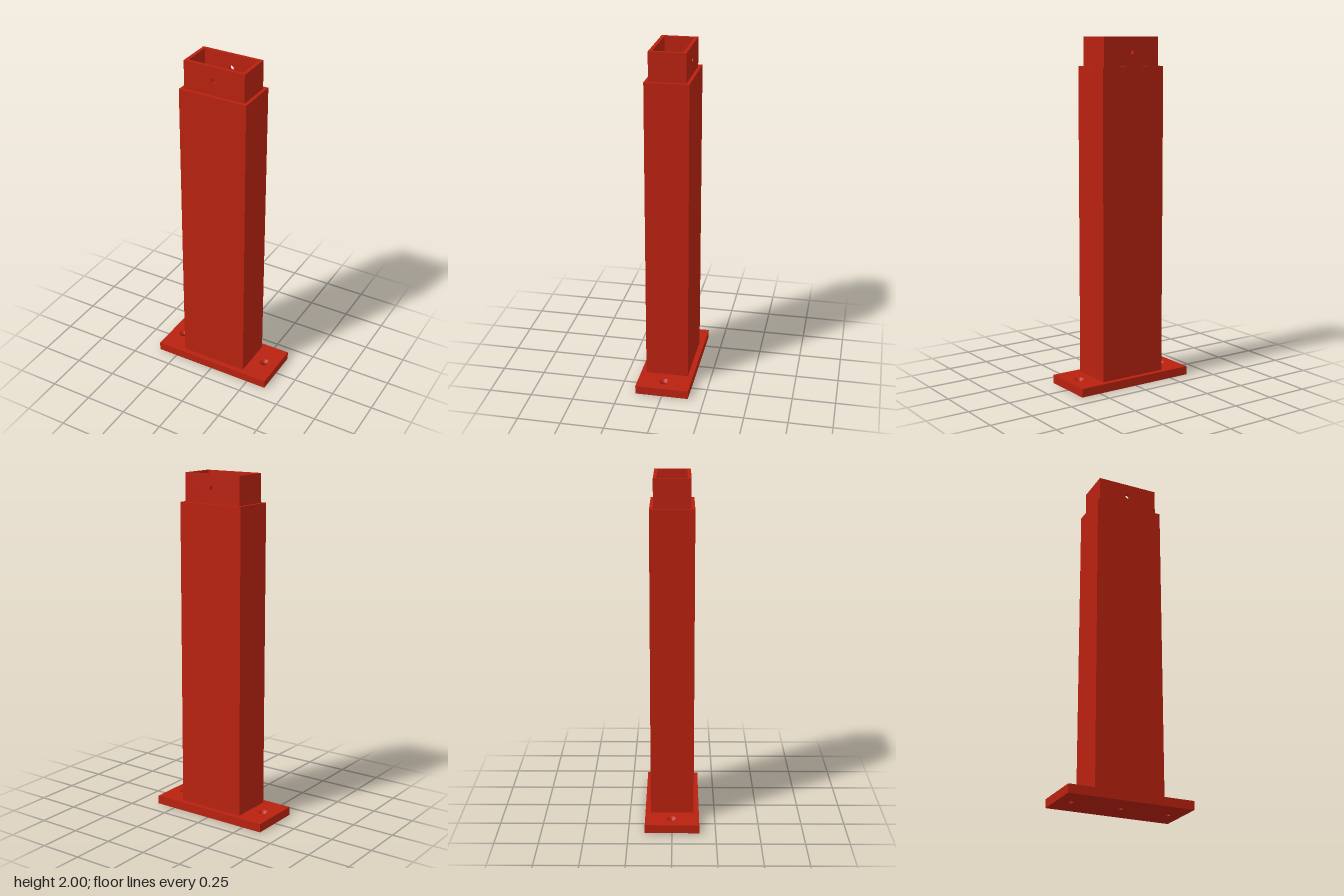
import * as THREE from 'three';

const red = new THREE.MeshStandardMaterial({ color: 0xb8210f });
red.name = 'red paint';

// Centred rectangle with half sizes
function rect(Type, hx, hy) {
  const p = new Type();
  p.moveTo(-hx, -hy);
  p.lineTo(hx, -hy);
  p.lineTo(hx, hy);
  p.lineTo(-hx, hy);
  p.closePath();
  return p;
}

function circle(x, y, r) {
  const p = new THREE.Path();
  p.absarc(x, y, r, 0, Math.PI * 2, true);
  return p;
}

function extrude(shape, depth) {
  return new THREE.ExtrudeGeometry(shape, { depth, bevelEnabled: false, curveSegments: 16 });
}

// Extrude a floor plan upward from y0 to y1
function slab(shape, y0, y1) {
  return extrude(shape, y1 - y0).rotateX(-Math.PI / 2).translate(0, y0, 0);
}

export function createModel() {
  const model = new THREE.Group();
  model.name = 'post';
  const add = (name, geometry) => {
    const mesh = new THREE.Mesh(geometry, red);
    mesh.name = name;
    model.add(mesh);
    return mesh;
  };

  // Base plate with three countersunk screw holes
  const plateTop = 0.05, sinkY = 0.033, boreR = 0.015, sinkR = 0.03;
  const holeXs = [-0.289, 0, 0.289];
  const plan = (r) => {
    const shape = rect(THREE.Shape, 0.37, 0.156);
    for (const x of holeXs) shape.holes.push(circle(x, 0, r));
    return shape;
  };
  add('basePlateLower', slab(plan(boreR), 0, sinkY));
  add('basePlateUpper', slab(plan(sinkR), sinkY, plateTop));

  // Conical screw seats, facing inward
  for (const x of holeXs) {
    const cone = new THREE.CylinderGeometry(sinkR, boreR, plateTop - sinkY, 32, 1, true);
    cone.scale(-1, 1, 1);
    const index = cone.index;
    for (let i = 0; i < index.count; i += 3) {
      // Keep the mirrored winding turned to the hole's axis
      const a = index.getX(i), b = index.getX(i + 1), c = index.getX(i + 2);
      index.setXYZ(i, a, b, c);
    }
    cone.computeVertexNormals();
    cone.translate(x, (plateTop + sinkY) / 2, 0);
    add('screwSeat', cone);
  }

  // Hollow column
  const column = rect(THREE.Shape, 0.205, 0.125);
  column.holes.push(rect(THREE.Path, 0.186, 0.106));
  add('column', slab(column, plateTop, 1.836));

  // Open-topped spigot fitted inside the column, cross-drilled front to back
  const y0 = 1.68, h = 2 - y0, hx = 0.184, hz = 0.104, wall = 0.02;
  for (const side of [1, -1]) {
    const face = rect(THREE.Shape, hx, h / 2);
    face.holes.push(circle(0, 1.92 - (y0 + h / 2), 0.015));
    add('spigotFace', extrude(face, wall))
      .position.set(0, y0 + h / 2, side > 0 ? hz - wall : -hz);
    add('spigotSide', new THREE.BoxGeometry(wall, h, 2 * (hz - wall)))
      .position.set(side * (hx - wall / 2), y0 + h / 2, 0);
  }
  add('spigotFloor', new THREE.BoxGeometry(2 * (hx - wall), wall, 2 * (hz - wall)))
    .position.set(0, y0 + wall / 2, 0);

  return model;
}
